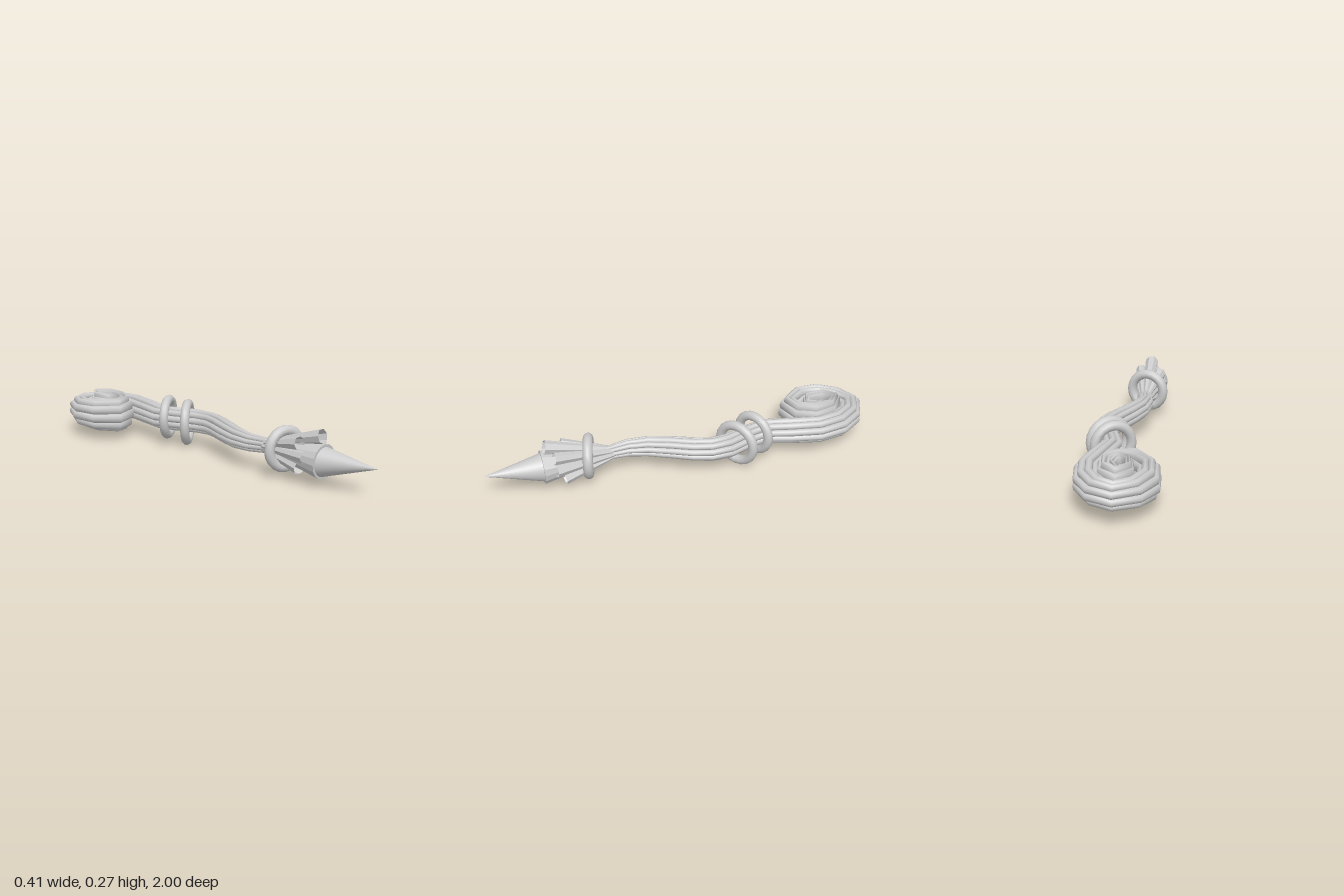
import * as THREE from 'three';

const smooth = new THREE.MeshStandardMaterial({ color: 0xcccccc, side: THREE.DoubleSide });
const faceted = new THREE.MeshStandardMaterial({ color: 0xcccccc, flatShading: true, side: THREE.DoubleSide });

// Staff centre line: x, z, half width, half height
const STATIONS = [
  [-0.01, 0.5, 0.035, 0.04], [-0.01, 0.38, 0.029, 0.038], [-0.02, 0.28, 0.042, 0.045],
  [0.0, 0.18, 0.05, 0.052], [0.043, 0.08, 0.055, 0.056], [0.098, -0.03, 0.058, 0.058],
  [0.127, -0.11, 0.056, 0.06], [0.126, -0.2, 0.057, 0.062], [0.085, -0.32, 0.056, 0.062],
  [0.063, -0.42, 0.06, 0.063], [0.1, -0.55, 0.064, 0.066], [0.135, -0.69, 0.064, 0.068],
  [0.12, -0.81, 0.064, 0.068], [0.068, -0.895, 0.064, 0.066], [-0.01, -0.937, 0.063, 0.066],
  [-0.09, -0.892, 0.062, 0.07], [-0.142, -0.805, 0.06, 0.078], [-0.138, -0.7, 0.058, 0.085],
  [-0.068, -0.615, 0.054, 0.09], [0.008, -0.64, 0.05, 0.094], [0.05, -0.71, 0.045, 0.097],
  [0.042, -0.8, 0.04, 0.1], [-0.01, -0.85, 0.036, 0.1], [-0.06, -0.795, 0.032, 0.1],
  [-0.05, -0.705, 0.028, 0.1], [0.0, -0.685, 0.024, 0.098], [0.022, -0.75, 0.02, 0.09],
  [-0.01, -0.785, 0.014, 0.075],
];
const CENTRE_Y = 0.132;

// One strand: an elliptical tube offset from the centre line at the given angle
function strandGeometry(angle, sides = 8) {
  const pos = [], index = [];
  const last = STATIONS.length - 1;
  STATIONS.forEach(([x, z, w, h], i) => {
    const a = STATIONS[Math.max(i - 1, 0)], b = STATIONS[Math.min(i + 1, last)];
    const len = Math.hypot(b[0] - a[0], b[1] - a[1]);
    const sx = -(b[1] - a[1]) / len, sz = (b[0] - a[0]) / len;
    const t = angle + 0.03 * i;
    for (let j = 0; j < sides; j++) {
      const p = (j / sides) * Math.PI * 2;
      const side = w * (0.74 * Math.cos(t) + 0.28 * Math.cos(p));
      const up = h * (0.74 * Math.sin(t) + 0.28 * Math.sin(p));
      pos.push(x + sx * side, CENTRE_Y + up, z + sz * side);
      if (i < last) {
        const k = i * sides + j, n = i * sides + ((j + 1) % sides);
        index.push(k, n, k + sides, n, n + sides, k + sides);
      }
    }
  });
  // End caps
  for (let j = 1; j < sides - 1; j++) {
    const e = last * sides;
    index.push(0, j + 1, j, e, e + j, e + j + 1);
  }
  const g = new THREE.BufferGeometry();
  g.setAttribute('position', new THREE.Float32BufferAttribute(pos, 3));
  g.setIndex(index);
  g.computeVertexNormals();
  return g;
}

// Tapered cylinder from point a (radius r0) to point b (radius r1)
function taper(name, a, b, r0, r1, sides, open, material) {
  const from = new THREE.Vector3(...a), to = new THREE.Vector3(...b);
  const dir = to.clone().sub(from);
  const mesh = new THREE.Mesh(new THREE.CylinderGeometry(r1, r0, dir.length(), sides, 1, open), material);
  mesh.position.copy(from).add(to).multiplyScalar(0.5);
  mesh.quaternion.setFromUnitVectors(new THREE.Vector3(0, 1, 0), dir.normalize());
  mesh.name = name;
  return mesh;
}

export function createModel() {
  const model = new THREE.Group();
  model.name = 'staff';

  // Twisted bundle of strands curling into a spiral head
  const shaft = new THREE.Group();
  shaft.name = 'shaftStrands';
  const count = 9;
  for (let i = 0; i < count; i++) {
    const strand = new THREE.Mesh(strandGeometry((i / count) * Math.PI * 2), smooth);
    strand.name = 'strand';
    shaft.add(strand);
  }
  model.add(shaft);

  // Flared strand ends around the foot: x, y, z, radius
  const flares = new THREE.Group();
  flares.name = 'flaredEnds';
  [
    [-0.012, 0.235, 0.7, 0.036], [-0.065, 0.195, 0.61, 0.034], [0.042, 0.195, 0.665, 0.032],
    [0.062, 0.135, 0.66, 0.032], [0.05, 0.075, 0.62, 0.032], [0.0, 0.06, 0.575, 0.032],
    [-0.055, 0.075, 0.6, 0.032], [-0.07, 0.135, 0.645, 0.032],
  ].forEach(([x, y, z, r]) => {
    const a = Math.atan2(y - 0.13, x + 0.01);
    const start = [-0.01 + 0.02 * Math.cos(a), 0.13 + 0.02 * Math.sin(a), 0.36];
    flares.add(taper('flare', start, [x, y, z], 0.012, r, 7, true, faceted));
  });
  model.add(flares);

  // Socket and spike
  model.add(taper('socket', [-0.01, 0.13, 0.38], [-0.017, 0.118, 0.715], 0.025, 0.084, 16, false, faceted));
  model.add(taper('spike', [-0.017, 0.118, 0.7], [-0.006, 0.136, 1.0], 0.074, 0, 32, false, smooth));

  // Loose rings: position, yaw, ring radius, tube radius
  [
    ['footRing', -0.01, 0.137, 0.483, -0.28, 0.09, 0.025],
    ['upperRing', 0.065, 0.14, -0.363, 0.5, 0.093, 0.024],
    ['lowerRing', 0.1, 0.122, -0.257, 0.6, 0.098, 0.024],
  ].forEach(([name, x, y, z, yaw, R, r]) => {
    const ring = new THREE.Mesh(new THREE.TorusGeometry(R, r, 12, 20), smooth);
    ring.position.set(x, y, z);
    ring.rotation.y = yaw;
    ring.name = name;
    model.add(ring);
  });

  return model;
}
